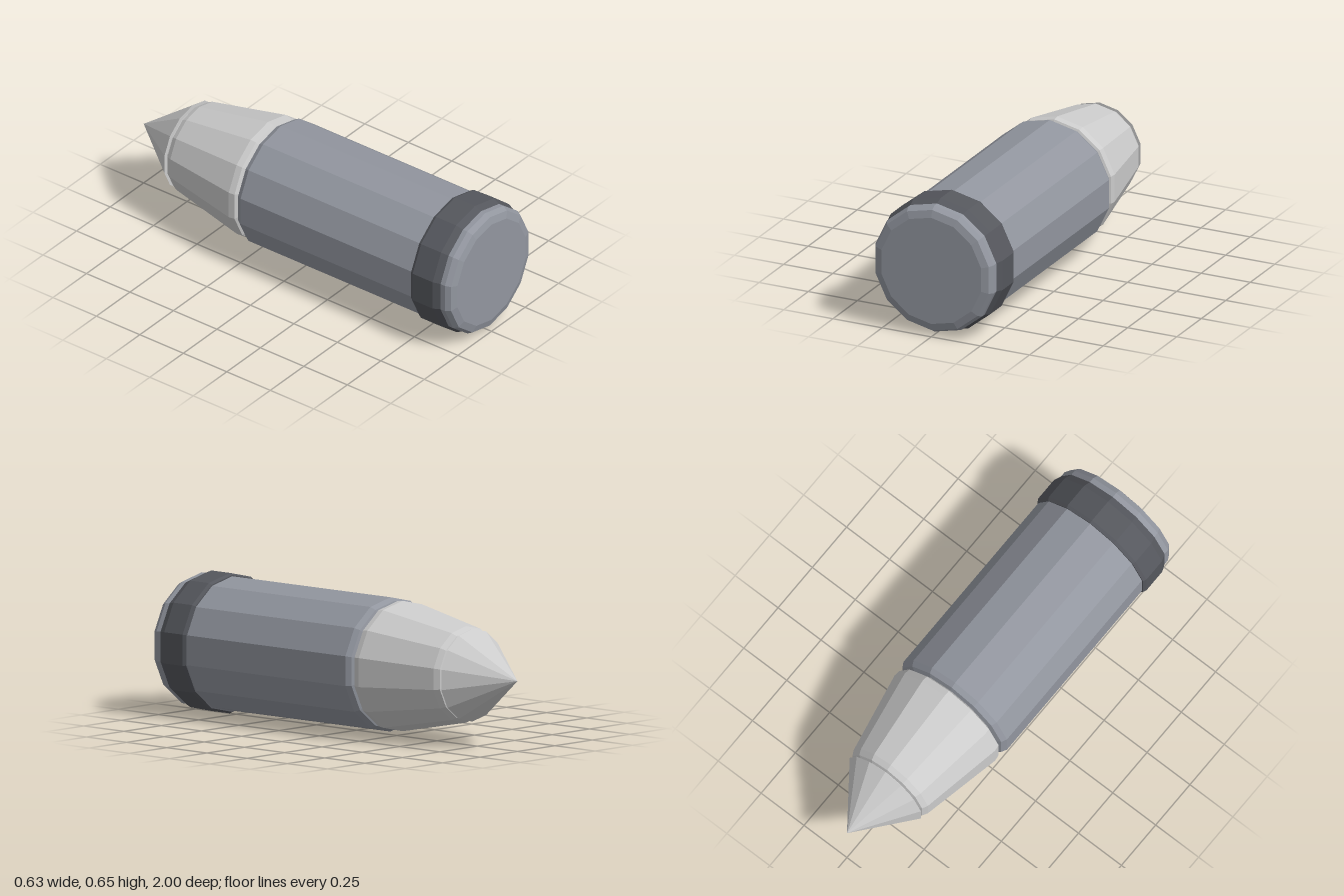
import * as THREE from 'three';

const SIDES = 14;
const AXIS_Y = 0.325;

// Faceted solid of revolution along z; profile is [radius, z] from back to front
function turned(name, color, profile) {
  const points = profile.map(([r, z]) => new THREE.Vector2(r, z));
  const geometry = new THREE.LatheGeometry(points, SIDES);
  geometry.rotateX(Math.PI / 2);
  const material = new THREE.MeshStandardMaterial({ color, flatShading: true });
  const mesh = new THREE.Mesh(geometry, material);
  mesh.name = name;
  mesh.position.y = AXIS_Y;
  return mesh;
}

export function createModel() {
  const group = new THREE.Group();
  group.name = 'cartridge';

  // Long casing with bevelled ends
  group.add(turned('casing', 0x92969f, [
    [0, -0.243], [0.27, -0.243], [0.295, -0.235], [0.309, -0.21],
    [0.309, 0.965], [0.295, 0.99], [0.26, 1], [0, 1],
  ]));

  // Raised dark band near the base
  group.add(turned('baseBand', 0x55575d, [
    [0.3, 0.775], [0.315, 0.775], [0.323, 0.79],
    [0.323, 0.905], [0.309, 0.94], [0.3, 0.945],
  ]));

  // Tapered forward section
  group.add(turned('taperedBody', 0xcccccc, [
    [0, -0.712], [0.19, -0.712], [0.208, -0.706], [0.222, -0.68],
    [0.3, -0.285], [0.296, -0.255], [0.27, -0.243], [0, -0.243],
  ]));

  // Short neck joining the taper to the point
  group.add(turned('neck', 0xcccccc, [[0.19, -0.722], [0.19, -0.705]]));

  // Pointed tip
  group.add(turned('tip', 0xcccccc, [[0, -1], [0.213, -0.72], [0, -0.72]]));

  return group;
}
